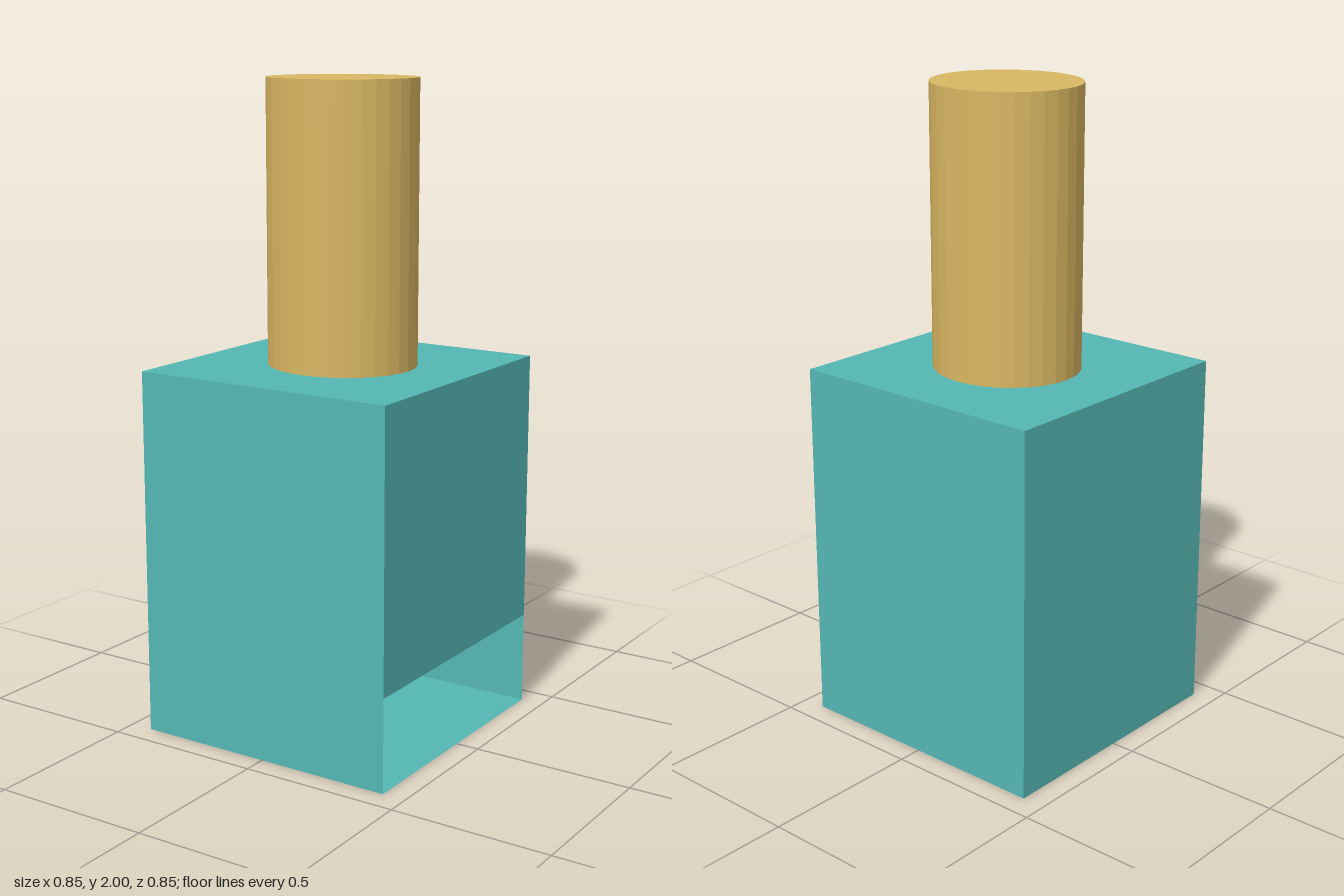
import * as THREE from 'three';

const HALF = 0.427;   // half width of the square body
const BODY_TOP = 1.14;
const SLOT_TOP = 0.29; // height of the opening on the left (+x) side

export function createModel() {
  const teal = new THREE.MeshStandardMaterial({ color: 0x54b7b3, side: THREE.DoubleSide });
  teal.name = 'teal';
  const gold = new THREE.MeshStandardMaterial({ color: 0xd9b762, flatShading: true });
  gold.name = 'gold';

  const model = new THREE.Group();
  model.name = 'bottle';
  const body = new THREE.Group();
  body.name = 'body';
  model.add(body);

  // Thin sheet facing outwards
  const sheet = (name, width, height, position, rx, ry) => {
    const mesh = new THREE.Mesh(new THREE.PlaneGeometry(width, height), teal);
    mesh.name = name;
    mesh.position.set(...position);
    mesh.rotation.set(rx, ry, 0);
    body.add(mesh);
  };

  const W = HALF * 2;
  const mid = BODY_TOP / 2;
  const quarter = Math.PI / 2;
  sheet('frontWall', W, BODY_TOP, [0, mid, HALF], 0, 0);
  sheet('backWall', W, BODY_TOP, [0, mid, -HALF], 0, Math.PI);
  sheet('rightWall', W, BODY_TOP, [-HALF, mid, 0], 0, -quarter);
  // The left wall stops above the opening
  sheet('leftWall', W, BODY_TOP - SLOT_TOP, [HALF, (BODY_TOP + SLOT_TOP) / 2, 0], 0, quarter);
  sheet('top', W, W, [0, BODY_TOP, 0], -quarter, 0);
  sheet('floor', W, W, [0, 0, 0], quarter, 0);

  // Slightly oval rod, running through the top into the hollow body
  const rodBottom = 0.28;
  const rod = new THREE.Mesh(new THREE.CylinderGeometry(1, 1, 2 - rodBottom, 32), gold);
  rod.name = 'rod';
  rod.scale.set(0.232, 1, 0.219);
  rod.position.set(0.005, (2 + rodBottom) / 2, -0.006);
  model.add(rod);

  return model;
}
